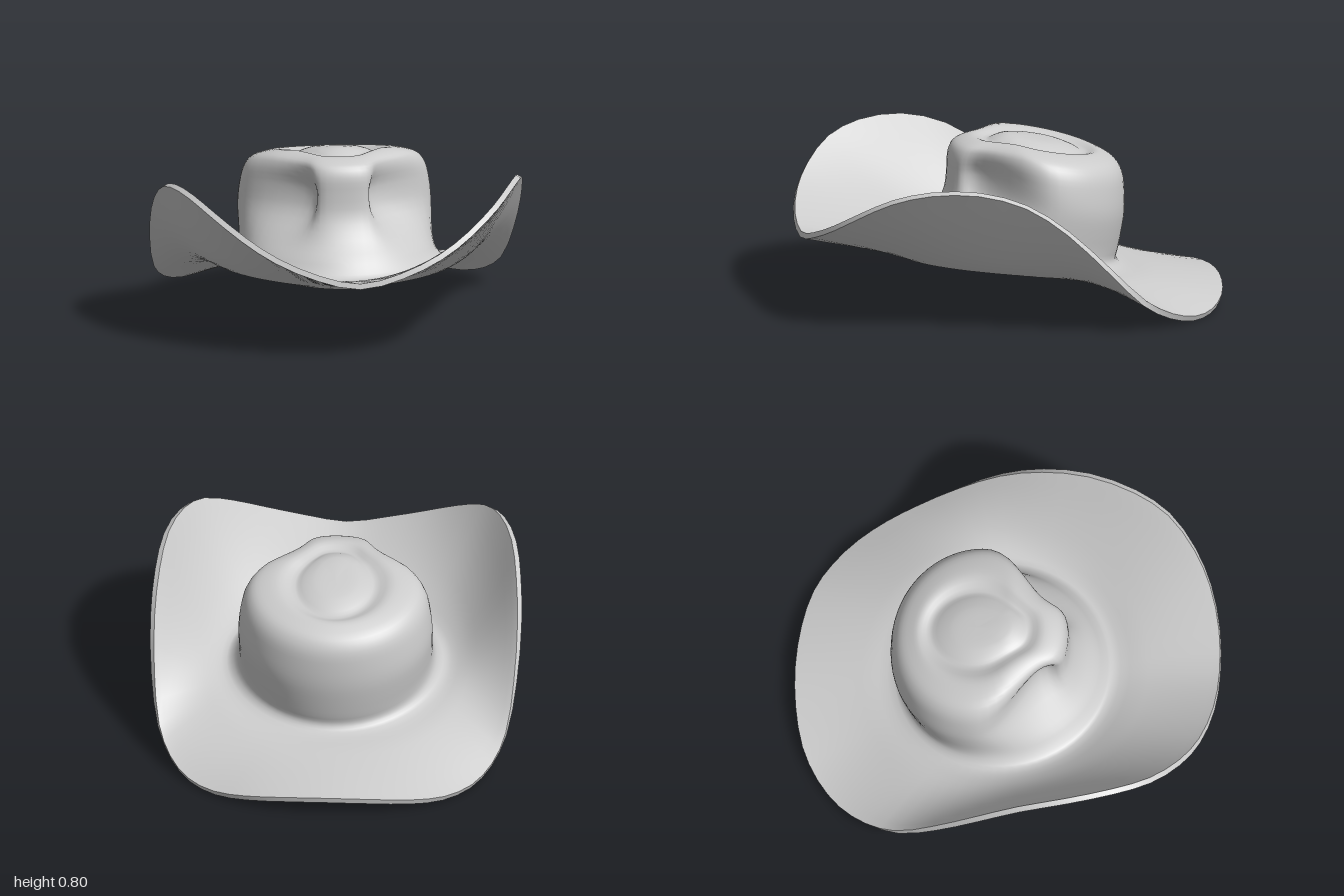
import * as THREE from 'three';

const COLS = 64, SUB = 3, THICK = 0.027, MID_Z = -0.15;

// Brim edge from front centre to back centre on the left half: x, z, y
const EDGE = [
  [0, 0.99, 0.38], [0.19, 0.975, 0.42], [0.38, 0.92, 0.495], [0.525, 0.835, 0.58],
  [0.655, 0.705, 0.67], [0.738, 0.54, 0.718], [0.803, 0.32, 0.72], [0.835, 0.1, 0.655],
  [0.85, -0.1, 0.52], [0.842, -0.3, 0.33], [0.812, -0.48, 0.155], [0.755, -0.62, 0.073],
  [0.665, -0.75, 0.033], [0.54, -0.86, 0.033], [0.39, -0.94, 0.06], [0.2, -0.985, 0.085],
  [0, -1, 0.095],
];

// Sections: height, half width, back z, front z, pinch, z of the widest point
// Foot of the crown on the brim, and the opening below it
const FOOT = [0, 0.515, -0.535, 0.49, 0, -0.03];
const OPENING = [0, 0.415, -0.44, 0.44, 0, 0];

// Crown, base to rim, with heights as a fraction of the crown
const CROWN = [
  [0.06, 0.472, -0.51, 0.455, 0, -0.05], [0.15, 0.455, -0.52, 0.42, 0.04, -0.08],
  [0.3, 0.453, -0.535, 0.35, 0.22, -0.12], [0.5, 0.455, -0.55, 0.295, 0.52, MID_Z],
  [0.7, 0.445, -0.55, 0.282, 0.58, MID_Z], [0.85, 0.425, -0.54, 0.277, 0.44, MID_Z],
  [0.94, 0.39, -0.51, 0.255, 0.34, MID_Z], [0.985, 0.33, -0.46, 0.21, 0.27, MID_Z],
  [1, 0.26, -0.42, 0.155, 0.22, MID_Z],
];

// Top crease and central bump, with heights as an offset from the top
const TOP = [
  [-0.022, 0.19, -0.37, 0.1, 0.16, MID_Z], [-0.006, 0.15, -0.32, 0.06, 0.14, MID_Z],
  [0.009, 0.095, -0.26, 0, 0.05, MID_Z], [0.013, 0, MID_Z, MID_Z, 0, MID_Z],
];

// Point on an egg-shaped section whose front quarters can be pinched in
function section(a, [, w, back, front, pinch, mid]) {
  const c = Math.cos(a);
  const dent = c > 0 ? pinch * Math.sin(Math.PI * Math.pow(c, 2.4)) : 0;
  const reach = c > 0 ? front - mid : mid - back;
  return { x: w * Math.sin(a) * (1 - dent), z: mid + reach * c };
}

const baseY = (a) => 0.255 + 0.055 * Math.cos(a) - 0.035 * Math.cos(a) ** 2;
const lipY = (a) => 0.225 + 0.0425 * Math.cos(a) - 0.0475 * Math.cos(a) ** 2;
const topY = (z) => 0.79 + 0.2 * Math.min(0, z);

// One smooth line from the brim edge up over the crown to its centre
function ribCurve(a, edge) {
  const pts = [], y0 = baseY(a);
  const ring = section(a, FOOT);
  const bend = 1 + 0.7 * Math.sin(a) ** 2;
  for (const t of [1, 0.75, 0.5, 0.25, 0]) {
    pts.push(new THREE.Vector3(
      ring.x + (edge.x - ring.x) * t,
      y0 + (edge.y - y0) * Math.pow(t, bend),
      ring.z + (edge.z - ring.z) * t));
  }
  for (const row of CROWN) {
    const { x, z } = section(a, row);
    pts.push(new THREE.Vector3(x, y0 + (topY(z) - y0) * row[0], z));
  }
  for (const row of TOP) {
    const { x, z } = section(a, row);
    pts.push(new THREE.Vector3(x, topY(z) + row[0], z));
  }
  return new THREE.CatmullRomCurve3(pts);
}

// Closed grid of rows and COLS columns; flip turns the faces inward
function gridGeometry(rows, flip) {
  const pos = [], index = [];
  rows.forEach((row) => row.forEach((p) => pos.push(p.x, p.y, p.z)));
  for (let r = 0; r < rows.length - 1; r++) {
    for (let c = 0; c < COLS; c++) {
      const n = (c + 1) % COLS;
      const [A, B, C, D] = [r * COLS + c, r * COLS + n, (r + 1) * COLS + c, (r + 1) * COLS + n];
      if (flip) index.push(A, C, B, B, C, D);
      else index.push(A, B, C, B, D, C);
    }
  }
  const g = new THREE.BufferGeometry();
  g.setAttribute('position', new THREE.Float32BufferAttribute(pos, 3));
  g.setIndex(index);
  g.computeVertexNormals();
  return g;
}

export function createModel() {
  const hat = new THREE.Group();
  hat.name = 'hat';
  const material = new THREE.MeshStandardMaterial({ color: 0xcccccc });
  const add = (name, geometry) => {
    const mesh = new THREE.Mesh(geometry, material);
    mesh.name = name;
    hat.add(mesh);
  };

  // Full brim edge, mirrored to the right half
  const half = EDGE.map(([x, z, y]) => new THREE.Vector3(x, y, z));
  const mirrored = half.slice(1, -1).reverse().map((p) => new THREE.Vector3(-p.x, p.y, p.z));
  const edgeCurve = new THREE.CatmullRomCurve3([...half, ...mirrored], true);

  // Outer surface, sampled along the ribs
  const steps = (5 + CROWN.length + TOP.length - 1) * SUB;
  const outer = Array.from({ length: steps + 1 }, () => []);
  const lip = [];
  for (let c = 0; c < COLS; c++) {
    const a = (c / COLS) * Math.PI * 2;
    const rib = ribCurve(a, edgeCurve.getPoint(c / COLS));
    outer.forEach((row, r) => row.push(rib.getPoint(r / steps)));
    const { x, z } = section(a, OPENING);
    lip.push(new THREE.Vector3(x, lipY(a), z));
  }
  const outerGeo = gridGeometry(outer, false);
  add('outerFelt', outerGeo);

  // Inner surface: the outer one pushed in by the thickness, split at the opening
  const normal = new THREE.Vector3();
  const inner = outer.map((row, r) => row.map((p, c) => {
    normal.fromBufferAttribute(outerGeo.attributes.normal, r * COLS + c);
    return p.clone().addScaledVector(normal, -THICK);
  }));
  add('brimUnderside', gridGeometry([...inner.slice(0, 4 * SUB), lip], true));
  add('crownLining', gridGeometry([lip, ...inner.slice(6 * SUB + 1)], true));

  // Rim joining both surfaces
  add('brimEdge', gridGeometry([inner[0], outer[0]], false));

  // Stand on the ground, centred
  const box = new THREE.Box3().setFromObject(hat);
  const mid = box.getCenter(new THREE.Vector3());
  hat.children.forEach((m) => m.geometry.translate(-mid.x, -box.min.y, -mid.z));
  return hat;
}
